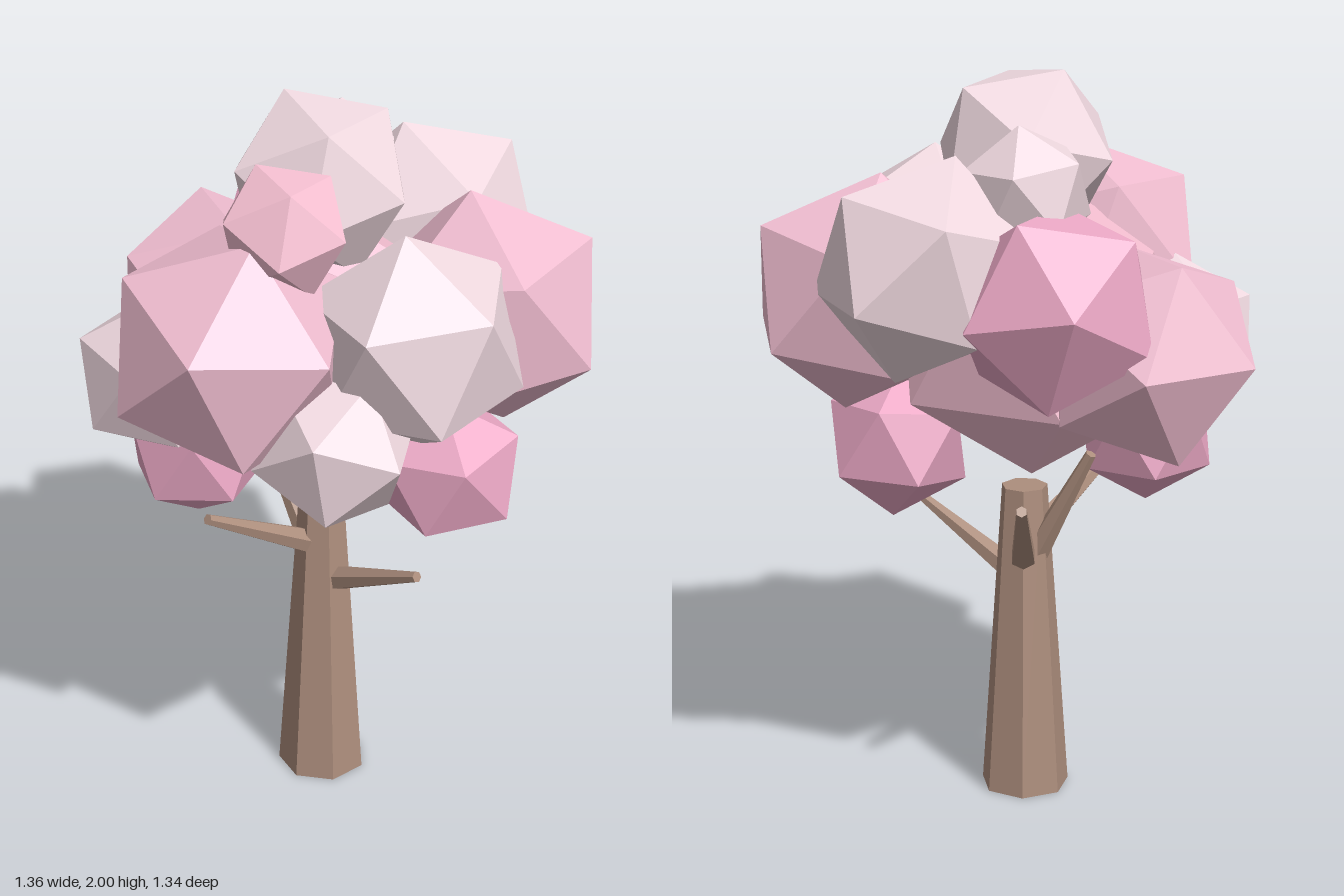
import * as THREE from 'three';

const V = (a) => new THREE.Vector3(...a);
const material = (color) => new THREE.MeshStandardMaterial({ color, flatShading: true });

const bark = material(0xad8e7d);
const paleLeaf = material(0xf0d9e0);
const softLeaf = material(0xf0bdd0);
const warmLeaf = material(0xf6c0d2);
const deepLeaf = material(0xeba8c5);

// Rotation whose x axis is a, with b lying in its xy plane
function frame(a, b) {
  const x = a.clone().normalize();
  const z = x.clone().cross(b).normalize();
  return new THREE.Matrix4().makeBasis(x, z.clone().cross(x), z);
}

// Two neighbouring corners of the stock icosahedron
const t = (1 + Math.sqrt(5)) / 2;
const stockFrame = frame(V([-1, t, 0]), V([1, t, 0]));

// Leaf clump with one corner towards `corner` and the next one towards `next`
function clump(name, mat, centre, radius, corner, next) {
  const mesh = new THREE.Mesh(new THREE.IcosahedronGeometry(radius, 0), mat);
  const turn = frame(V(corner), V(next)).multiply(stockFrame.clone().transpose());
  mesh.quaternion.setFromRotationMatrix(turn);
  mesh.position.set(...centre);
  mesh.name = name;
  return mesh;
}

// Tapered limb from one point to another
function limb(name, from, to, r0, r1, sides) {
  const a = V(from), b = V(to), dir = b.clone().sub(a);
  const mesh = new THREE.Mesh(new THREE.CylinderGeometry(r1, r0, dir.length(), sides), bark);
  mesh.position.copy(a).add(b).multiplyScalar(0.5);
  mesh.quaternion.setFromUnitVectors(new THREE.Vector3(0, 1, 0), dir.normalize());
  mesh.name = name;
  return mesh;
}

export function createModel() {
  const tree = new THREE.Group();
  tree.name = 'blossomTree';

  // Trunk
  const trunk = limb('trunk', [-0.013, 0, 0.03], [-0.013, 0.87, 0.03], 0.122, 0.063, 7);
  trunk.rotation.y = 0.25;
  tree.add(trunk);

  // Branches
  const branches = [
    ['leftBranch', [0.01, 0.66, 0.02], [0.33, 0.925, -0.16]],
    ['rightBranch', [-0.04, 0.72, 0.02], [-0.37, 0.91, -0.07]],
    ['frontBranch', [-0.02, 0.615, 0.07], [-0.065, 0.76, 0.385]],
    ['backBranch', [-0.01, 0.67, 0.0], [-0.01, 0.99, -0.175]],
  ];
  for (const [name, from, to] of branches) tree.add(limb(name, from, to, 0.037, 0.015, 6));

  // Crown: name, material, centre, radius, corner direction, next corner direction
  const crown = new THREE.Group();
  crown.name = 'crown';
  const clumps = [
    ['coreClump', warmLeaf, [-0.02, 1.32, 0], 0.41, [0.02, -0.4, 0], [0.32, -0.2, -0.27]],
    ['topClump', paleLeaf, [-0.035, 1.775, 0.04], 0.25, [0, 0.23, -0.12], [0.15, 0.19, 0.1]],
    ['upperRightClump', warmLeaf, [-0.28, 1.75, 0.12], 0.175, [0, 0.14, -0.08], [-0.15, 0.05, -0.06]],
    ['upperLeftClump', paleLeaf, [0.2, 1.72, -0.1], 0.175, [0.02, 0.165, 0.01], [0, 0.07, -0.16]],
    ['leftClump', paleLeaf, [0.395, 1.54, 0.08], 0.295, [0.27, -0.06, 0.02], [0.09, 0.19, -0.2]],
    ['frontClump', paleLeaf, [-0.1, 1.46, 0.385], 0.296, [-0.03, 0.3, -0.01], [-0.04, 0.15, 0.27]],
    ['frontLeftClump', softLeaf, [0.25, 1.42, 0.365], 0.322, [-0.02, 0.32, -0.05], [0.18, 0.14, 0.21]],
    ['rightClump', softLeaf, [-0.38, 1.445, 0.03], 0.33, [-0.28, -0.14, -0.155], [-0.29, 0.08, 0.1]],
    ['lowerFrontRightClump', paleLeaf, [-0.31, 1.235, 0.3], 0.22, [-0.02, 0, 0.2], [-0.2, 0.09, 0.08]],
    ['lowFrontClump', deepLeaf, [0.13, 0.99, 0.34], 0.21, [0.03, -0.2, 0], [0, -0.07, 0.19]],
    ['lowBackClump', deepLeaf, [-0.22, 1.01, -0.23], 0.195, [0, -0.19, 0], [-0.18, -0.05, 0]],
    ['backClump', softLeaf, [0.05, 1.305, -0.37], 0.303, [0, 0, -0.29], [0.08, 0.24, -0.1]],
    ['backLeftClump', deepLeaf, [0.29, 1.455, -0.235], 0.28, [0.2, 0.03, -0.16], [0.22, -0.015, 0.08]],
    ['lowerBackRightClump', paleLeaf, [-0.32, 1.255, -0.27], 0.225, [0, -0.08, -0.2], [-0.19, -0.1, -0.04]],
  ];
  for (const c of clumps) crown.add(clump(...c));
  tree.add(crown);

  return tree;
}
